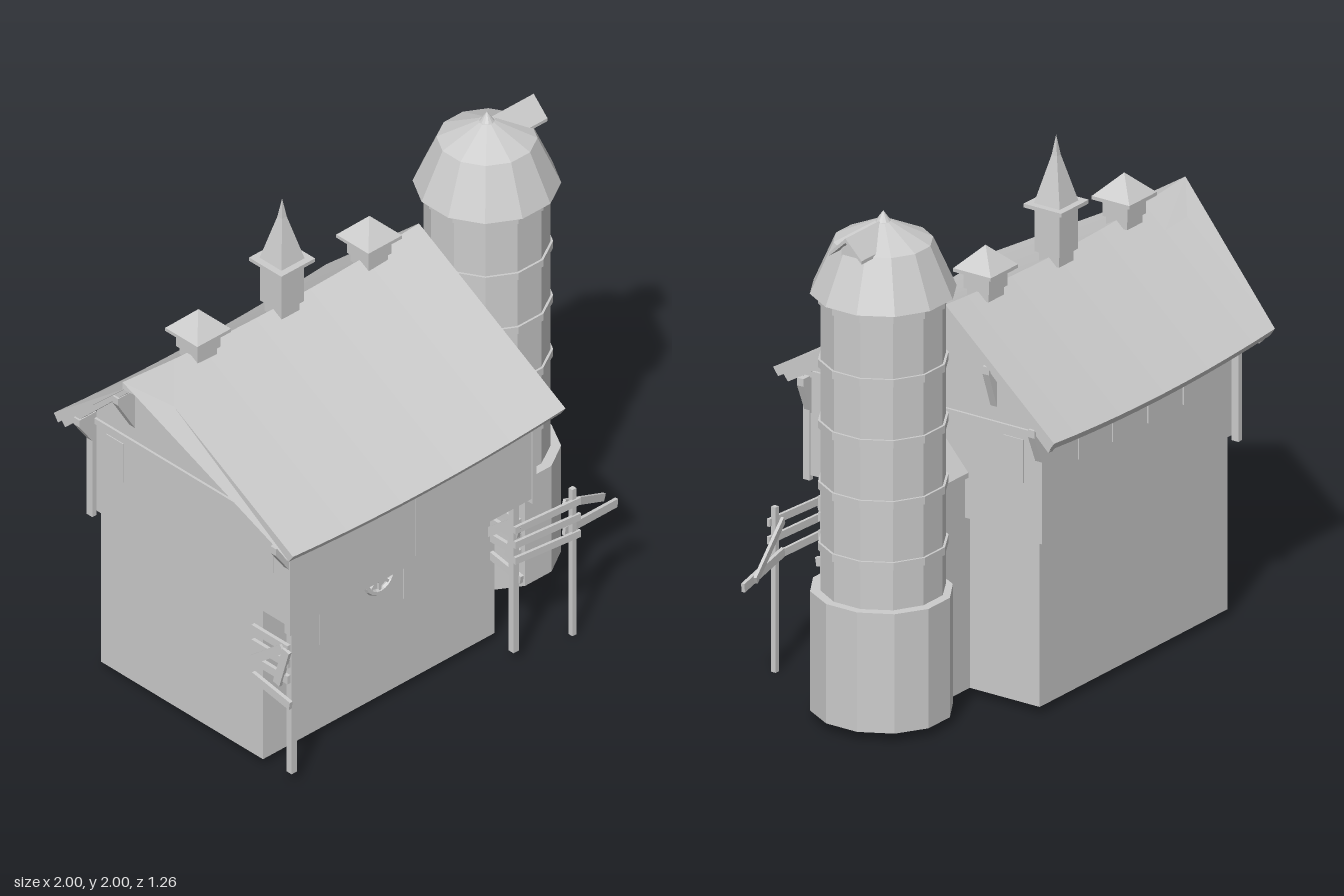
import * as THREE from 'three';

const mat = new THREE.MeshStandardMaterial({ color: 0xcccccc, flatShading: true });
const RIDGE_Z = -0.145;

export function createModel() {
  const model = new THREE.Group();

  const add = (name, geo, x = 0, y = 0, z = 0) => {
    const mesh = new THREE.Mesh(geo, mat);
    mesh.name = name;
    mesh.position.set(x, y, z);
    model.add(mesh);
    return mesh;
  };
  // Box given by its limits
  const box = (name, x0, x1, y0, y1, z0, z1) =>
    add(name, new THREE.BoxGeometry(x1 - x0, y1 - y0, z1 - z0), (x0 + x1) / 2, (y0 + y1) / 2, (z0 + z1) / 2);
  // Plank running between two points
  const plank = (name, a, b, w = 0.015, h = 0.035) => {
    const p = new THREE.Vector3(...a), q = new THREE.Vector3(...b);
    const mesh = add(name, new THREE.BoxGeometry(w, h, p.distanceTo(q)));
    mesh.position.copy(p).add(q).multiplyScalar(0.5);
    mesh.lookAt(q);
    return mesh;
  };
  // Profile of [z, y] points extruded along x
  const alongX = (points, x0, x1, steps = 1) => {
    const shape = new THREE.Shape(points.map(([z, y]) => new THREE.Vector2(-z, y)));
    return new THREE.ExtrudeGeometry(shape, { depth: x1 - x0, steps, bevelEnabled: false })
      .rotateY(Math.PI / 2).translate(x0, 0, 0);
  };
  // Four-sided frustum aligned with the axes
  const frustum = (top, bottom, h) =>
    new THREE.CylinderGeometry(top * Math.SQRT2, bottom * Math.SQRT2, h, 4).rotateY(Math.PI / 4);
  // Twelve-sided lathe with flat sides facing the axes; radii are to the flats
  const twelve = (profile) => new THREE.LatheGeometry(
    profile.map(([r, y]) => new THREE.Vector2(r / Math.cos(Math.PI / 12), y)), 12, Math.PI / 12);

  // House body
  box('lowerStorey', -0.765, 0.4, 0.03, 0.72, -0.505, 0.35);
  add('upperStorey', alongX([[0.53, 0.71], [0.53, 1.115], [RIDGE_Z, 1.5], [-0.51, 1.17], [-0.51, 0.71]], -0.785, 0.43));
  for (const x of [-0.787, 0.432]) {
    box('gableBeam', x - 0.008, x + 0.008, 1.1, 1.125, -0.515, 0.53);
    for (const z of [-0.525, 0.52]) box('cornerPost', x - 0.018, x + 0.003, 0.69, 1.13, z - 0.015, z + 0.015);
  }

  // Sagging roof with a pointed hood at the right gable
  const roofTop = (z) => z > RIDGE_Z ? 1.53 - (z - RIDGE_Z) * 0.555 : 1.53 - (RIDGE_Z - z) * 0.878;
  const sagRoof = (geo, hood) => {
    const p = geo.attributes.position;
    for (let i = 0; i < p.count; i++) {
      const x = p.getX(i), t = (x + 0.195) / 0.685;
      p.setY(i, p.getY(i) + 0.027 * t * t);
      if (hood && x < -0.879 && Math.abs(p.getZ(i) - RIDGE_Z) < 0.01) {
        p.setX(i, -1);
        p.setY(i, p.getY(i) + 0.012);
      }
    }
    geo.computeVertexNormals();
    return geo;
  };
  const zs = [0.63, 0, RIDGE_Z, -0.24, -0.635];
  const chevron = (a, b) => [
    ...zs.map((z) => [z, roofTop(z) - a]),
    ...zs.map((z) => [z * (Math.abs(z) > 0.5 ? 0.965 : 1), roofTop(z) - b]).reverse(),
  ];
  add('roof', sagRoof(alongX(chevron(0, 0.032), -0.88, 0.49, 10), true));
  // Rafters beneath the roof at both gables
  for (const x of [-0.862, 0.445]) {
    const pts = chevron(0.028, 0.055).map(([z, y]) => [z * 0.96 - 0.0058, y + 0.004]);
    add('gableRafter', sagRoof(alongX(pts, x, x + 0.025), false));
  }

  // Triangular brackets under the verges
  for (const s of [-1, 1]) {
    const wall = s < 0 ? -0.785 : 0.43;
    for (const [z, top, h] of [[0.515, 1.105, 0.15], [0.285, 1.27, 0.14], [-0.32, 1.35, 0.17], [-0.525, 1.15, 0.15]]) {
      const reach = s * (s < 0 ? 0.085 : 0.05);
      const shape = new THREE.Shape([[0, top - h], [reach, top - 0.03], [reach, top], [0, top]]
        .map(([x, y]) => new THREE.Vector2(x, y)));
      add('vergeBracket', new THREE.ExtrudeGeometry(shape, { depth: 0.03, bevelEnabled: false }), wall, 0, z - 0.015);
    }
  }

  // Doors, shutters and windows
  box('loftDoor', -0.17, -0.02, 0.74, 1.09, 0.52, 0.534);
  for (const [a, b] of [[-0.645, -0.488], [-0.485, -0.33], [-0.06, 0.26]]) box('frontShutter', a, b, 0.405, 0.71, 0.34, 0.355);
  for (const x of [-0.785, 0.43]) {
    for (const z of [0.385, -0.41]) box('gableWindow', x - 0.004, x + 0.004, 0.91, 1.08, z - 0.045, z + 0.045);
  }
  for (const x of [0.13, -0.08, -0.3, -0.52]) box('backWindow', x - 0.04, x + 0.04, 0.93, 1.09, -0.515, -0.5);

  // Wheel on the front wall
  add('wheelRim', new THREE.TorusGeometry(0.069, 0.012, 6, 20), -0.19, 0.575, 0.36);
  add('wheelHub', new THREE.CylinderGeometry(0.025, 0.025, 0.03, 10).rotateX(Math.PI / 2), -0.19, 0.575, 0.36);
  for (let i = 0; i < 4; i++) {
    add('wheelSpokes', new THREE.BoxGeometry(0.135, 0.012, 0.012), -0.19, 0.575, 0.36).rotation.z = i * Math.PI / 4;
  }

  // Ridge turrets
  for (const x of [-0.62, 0.24]) {
    box('ventBase', x - 0.048, x + 0.048, 1.51, 1.56, RIDGE_Z - 0.048, RIDGE_Z + 0.048);
    box('ventBody', x - 0.057, x + 0.057, 1.545, 1.62, RIDGE_Z - 0.057, RIDGE_Z + 0.057);
    box('ventEave', x - 0.085, x + 0.085, 1.612, 1.626, RIDGE_Z - 0.085, RIDGE_Z + 0.085);
    add('ventRoof', frustum(0, 0.085, 0.085), x, 1.668, RIDGE_Z);
  }
  box('spireBase', -0.243, -0.153, 1.5, 1.56, RIDGE_Z - 0.045, RIDGE_Z + 0.045);
  box('spireBody', -0.255, -0.141, 1.545, 1.725, RIDGE_Z - 0.057, RIDGE_Z + 0.057);
  box('spireEave', -0.283, -0.113, 1.72, 1.735, RIDGE_Z - 0.085, RIDGE_Z + 0.085);
  add('spireLower', frustum(0.012, 0.058, 0.185), -0.198, 1.8275, RIDGE_Z);
  add('spireTip', frustum(0, 0.012, 0.08), -0.198, 1.96, RIDGE_Z);

  // Link building between house and silo
  box('linkWalls', 0.38, 0.565, 0.03, 0.89, -0.19, 0.1);
  add('linkRoof', alongX([[0.115, 0.87], [0.115, 0.89], [-0.045, 1.07], [-0.205, 0.89], [-0.205, 0.87]], 0.4, 0.57));

  // Silo
  const SX = 0.737, SZ = -0.045;
  const base = add('siloBase', twelve([[0, 0.035], [0.26, 0.035], [0.26, 0.505], [0.2, 0.505]]), 0.748, 0, SZ);
  base.scale.x = 0.95;
  add('siloTower', twelve([[0.224, 0.48], [0.224, 1.7]]), SX, 0, SZ);
  for (const y of [0.68, 0.92, 1.16, 1.4, 1.65]) {
    add('siloHoop', twelve([[0.22, y - 0.015], [0.233, y - 0.015], [0.233, y + 0.015], [0.22, y + 0.015]]), SX, 0, SZ);
  }
  add('siloDome', twelve([[0.21, 1.7], [0.262, 1.675], [0.178, 1.872], [0.03, 1.947], [0, 1.947]]), SX, 0, SZ);
  add('siloFinial', new THREE.ConeGeometry(0.032, 0.045, 12), SX, 1.964, SZ);
  box('hatchWalls', 0.76, 0.92, 1.8, 1.89, SZ - 0.055, SZ + 0.055);
  add('hatchGable', alongX([[SZ + 0.055, 1.88], [SZ, 1.935], [SZ - 0.055, 1.88]], 0.76, 0.92));
  add('hatchRoof', alongX([[SZ + 0.073, 1.867], [SZ + 0.073, 1.88], [SZ, 1.952], [SZ - 0.073, 1.88],
    [SZ - 0.073, 1.867], [SZ, 1.935]], 0.745, 0.972));

  // Posts and side railings under the overhang
  for (const [x, railX] of [[-0.752, -0.777], [0.364, 0.384]]) {
    box('overhangPost', x - 0.013, x + 0.013, 0.04, 0.72, 0.475, 0.502);
    for (const y of [0.6, 0.535, 0.465]) plank('sideRail', [railX, y, 0.31], [railX, y, 0.5]);
    plank('sideBrace', [railX - 0.01, 0.6, 0.48], [railX - 0.01, 0.47, 0.32]);
    plank('sideBrace', [railX - 0.01, 0.6, 0.5], [railX - 0.01, 0.43, 0.45]);
    plank('looseRail', [railX, 0.355, 0.51], [railX, 0.39, 0.31]);
  }

  // Broken fence at the front
  box('fencePost', 0.62, 0.64, 0, 0.65, 0.51, 0.53);
  for (const [y, lift] of [[0.59, 0], [0.525, -0.005], [0.455, -0.01]]) {
    plank('fenceRail', [0.35, y, 0.508], [0.655, y + lift, 0.533], 0.012, 0.03);
  }
  plank('brokenRail', [0.6, 0.59, 0.505], [0.865, 0.455, 0.437], 0.012, 0.03);
  plank('brokenRail', [0.6, 0.465, 0.505], [0.9, 0.43, 0.468], 0.014, 0.035);

  return model;
}
